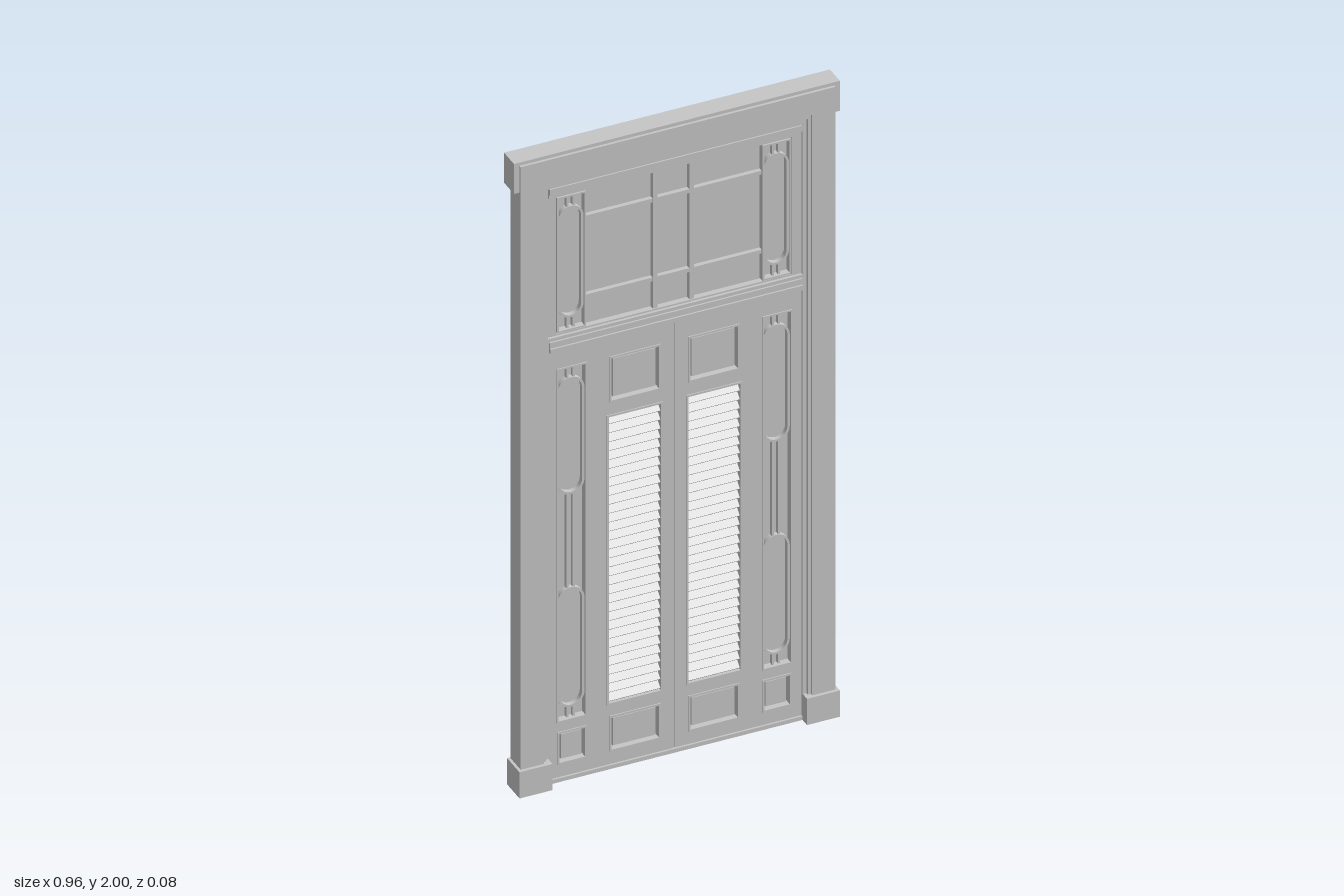
import * as THREE from 'three';

export function createModel() {
  const model = new THREE.Group();
  model.name = 'shutteredDoorway';
  const paint = new THREE.MeshStandardMaterial({ color: 0xc6c6c6 });
  paint.name = 'grey paint';

  const add = (name, geometry) => {
    const mesh = new THREE.Mesh(geometry, paint);
    mesh.name = name;
    model.add(mesh);
    return mesh;
  };
  const box = (name, x0, x1, y0, y1, z0, z1) => add(name,
    new THREE.BoxGeometry(Math.abs(x1 - x0), y1 - y0, z1 - z0)
      .translate((x0 + x1) / 2, (y0 + y1) / 2, (z0 + z1) / 2));
  const rect = (x0, x1, y0, y1, Kind = THREE.Path) => {
    const p = new Kind();
    p.moveTo(x0, y0);
    p.lineTo(x1, y0);
    p.lineTo(x1, y1);
    p.lineTo(x0, y1);
    p.closePath();
    return p;
  };
  const extrude = (name, shape, z0, z1) => add(name,
    new THREE.ExtrudeGeometry(shape, { depth: z1 - z0, bevelEnabled: false, curveSegments: 10 })
      .translate(0, 0, z0));
  // Rectangular slab pierced by rectangular openings
  const slab = (name, outer, holes, z0, z1) => {
    const shape = rect(...outer, THREE.Shape);
    holes.forEach(h => shape.holes.push(rect(...h)));
    return extrude(name, shape, z0, z1);
  };
  const inset = ([x0, x1, y0, y1], d) => [x0 + d, x1 - d, y0 + d, y1 - d];
  // Ordered rectangle on either side of the centre line
  const side = (s, [a, b, y0, y1]) => (s > 0 ? [a, b, y0, y1] : [-b, -a, y0, y1]);
  const capsule = (Kind, cx, r, y0, y1) => {
    const p = new Kind();
    p.moveTo(cx + r, y0 + r);
    p.lineTo(cx + r, y1 - r);
    p.absarc(cx, y1 - r, r, 0, Math.PI, false);
    p.lineTo(cx - r, y0 + r);
    p.absarc(cx, y0 + r, r, Math.PI, Math.PI * 2, false);
    return p;
  };
  // Round-ended tracery ring
  const tracery = (cx, r, y0, y1, z0, z1) => {
    const shape = capsule(THREE.Shape, cx, r, y0, y1);
    shape.holes.push(capsule(THREE.Path, cx, r - 0.007, y0 + 0.007, y1 - 0.007));
    extrude('traceryRing', shape, z0, z1);
  };
  // Portal-shaped frame, open at the bottom
  const portal = (name, w, top, iw, itop, z0, z1) => {
    const p = new THREE.Shape();
    [[-w, 0], [-iw, 0], [-iw, itop], [iw, itop], [iw, 0], [w, 0], [w, top], [-w, top]]
      .forEach(([x, y], i) => (i ? p.lineTo(x, y) : p.moveTo(x, y)));
    p.closePath();
    extrude(name, p, z0, z1);
  };

  // Casing with stepped inner moulding
  portal('casing', 0.464, 1.99, 0.395, 1.92, -0.035, 0.03);
  portal('casingStepOuter', 0.395, 1.92, 0.386, 1.906, -0.035, 0.022);
  portal('casingStepInner', 0.386, 1.906, 0.375, 1.885, -0.035, 0.013);

  // Cap, rear lintel, plinth blocks and threshold
  box('cap', -0.48, 0.48, 1.905, 2, -0.04, 0.022).scale.set(1, 1, 1);
  box('rearLintel', -0.38, 0.38, 1.886, 1.989, -0.044, -0.03);
  for (const s of [-1, 1]) box('plinthBlock', s * 0.375, s * 0.472, 0, 0.083, -0.038, 0.04);
  box('threshold', -0.375, 0.375, 0, 0.012, -0.034, 0.012);

  // Doors with sidelights
  const louvre = [0.034, 0.2, 0.2, 1.118];
  const light = [0.258, 0.347, 0.185, 1.305];
  const panels = [[0.04, 0.192, 1.157, 1.302], [0.04, 0.192, 0.052, 0.165], [0.258, 0.345, 0.052, 0.155]];
  box('meetingStrip', -0.01, 0.01, 0.012, 1.36, -0.022, 0.002);
  for (const s of [-1, 1]) {
    const leaf = side(s, [0.002, 0.375, 0.012, 1.365]);
    const L = side(s, louvre), G = side(s, light), P = panels.map(p => side(s, p));
    slab('doorBack', leaf, [L, G], -0.029, -0.014);
    slab('doorFront', leaf, [L, G, ...P], -0.014, 0.006);

    // Raised panels with moulding
    for (const p of P) {
      slab('panelMoulding', p, [inset(p, 0.006)], -0.014, 0.009);
      box('raisedPanel', ...inset(p, 0.013), -0.014, 0.001);
    }

    // Louvred shutter
    slab('louvreMoulding', L, [inset(L, 0.006)], -0.02, 0.009);
    const n = 32, y0 = louvre[2] + 0.006, pitch = (louvre[3] - louvre[2] - 0.012) / n;
    for (let i = 0; i < n; i++) {
      const slat = add('louvreSlat', new THREE.BoxGeometry(0.154, 0.005, 0.033));
      slat.position.set(s * 0.117, y0 + (i + 0.5) * pitch, -0.01);
      slat.rotation.x = 0.75;
    }

    // Sidelight pane and tracery
    box('sidelightPane', ...G, -0.024, -0.012);
    slab('sidelightMoulding', G, [inset(G, 0.005)], -0.012, 0.009);
    const cx = s * 0.3025;
    tracery(cx, 0.0395, 0.895, 1.265, -0.012, 0.002);
    tracery(cx, 0.0395, 0.222, 0.6, -0.012, 0.002);
    for (const b of [-0.009, 0.009]) {
      for (const [a, c] of [[0.19, 0.226], [0.596, 0.899], [1.261, 1.3]]) {
        box('sidelightBar', cx + b - 0.003, cx + b + 0.003, a, c, -0.012, 0);
      }
    }
  }

  // Transom rail moulding
  box('transomRail', -0.375, 0.375, 1.36, 1.41, -0.03, 0.012);
  box('transomRailLip', -0.372, 0.372, 1.368, 1.382, 0.012, 0.022);
  box('transomRailBead', -0.372, 0.372, 1.382, 1.4, 0.012, 0.017);

  // Transom window
  const T = [-0.347, 0.347, 1.415, 1.847];
  slab('transomFrame', [-0.375, 0.375, 1.41, 1.886], [T], -0.031, 0.004);
  box('transomPane', ...T, -0.024, -0.013);
  box('transomHeadMoulding', -0.372, 0.372, 1.853, 1.866, 0.004, 0.011);
  box('transomHeadBead', -0.372, 0.372, 1.866, 1.885, 0.004, 0.017);
  for (const s of [-1, 1]) {
    const G = side(s, [0.26, 0.345, 1.417, 1.845]);
    slab('transomSideMoulding', G, [inset(G, 0.005)], -0.013, 0.006);
    const cx = s * 0.3025;
    tracery(cx, 0.037, 1.455, 1.807, -0.013, 0.002);
    for (const b of [-0.009, 0.009]) {
      box('transomSideBar', cx + b - 0.003, cx + b + 0.003, 1.42, 1.459, -0.013, 0);
      box('transomSideBar', cx + b - 0.003, cx + b + 0.003, 1.803, 1.842, -0.013, 0);
    }
    box('verticalMuntin', s * 0.047, s * 0.061, 1.415, 1.847, -0.013, 0.001);
  }
  for (const y of [1.507, 1.757]) box('horizontalMuntin', -0.262, 0.262, y - 0.006, y + 0.006, -0.013, 0);

  return model;
}
